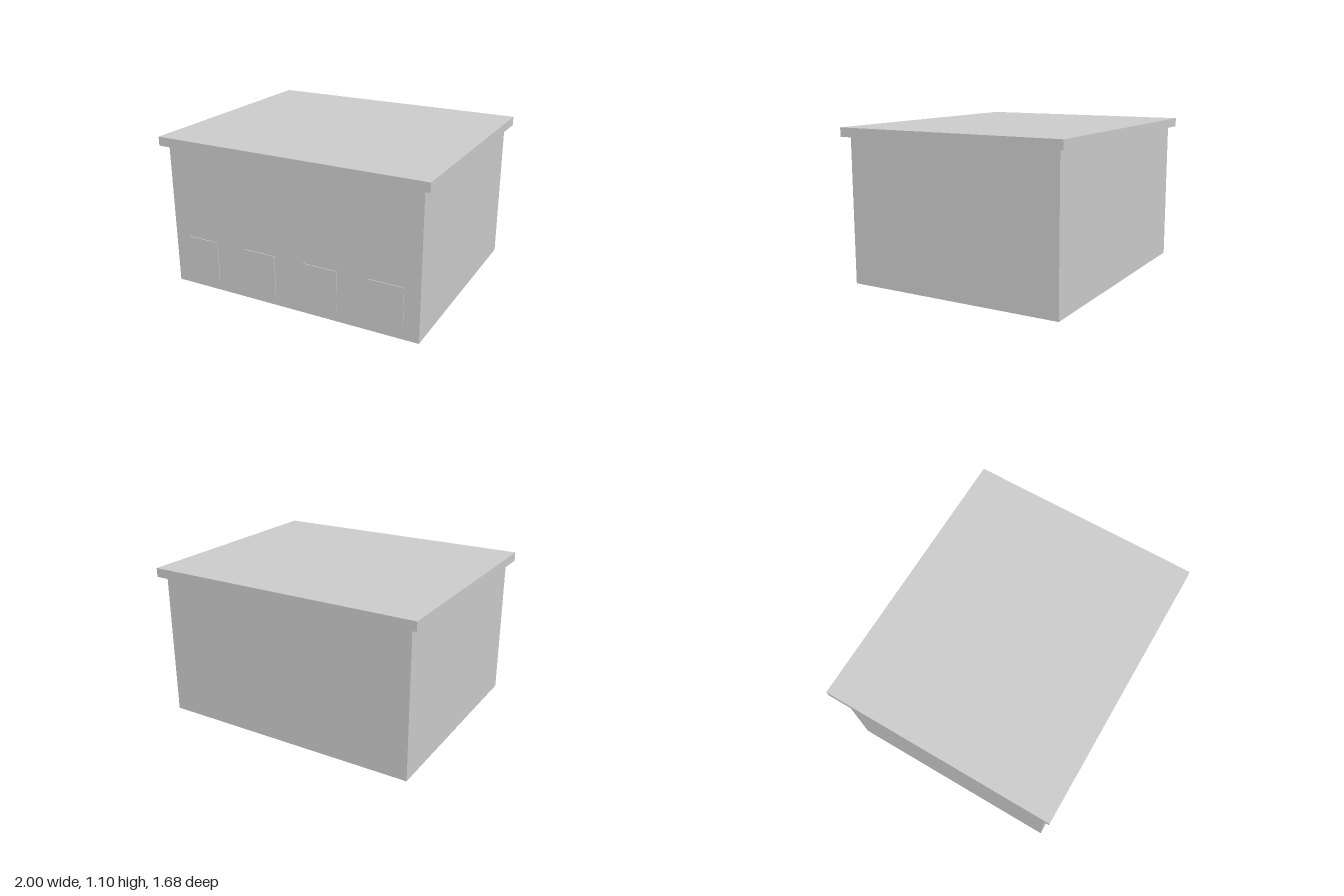
import * as THREE from 'three';

export function createModel() {
  const group = new THREE.Group();
  const grey = new THREE.MeshStandardMaterial({ color: 0xcccccc });
  grey.name = 'light grey';

  // Adds a box whose base sits at height y
  function box(name, w, h, d, x, y, z) {
    const mesh = new THREE.Mesh(new THREE.BoxGeometry(w, h, d), grey);
    mesh.name = name;
    mesh.position.set(x, y + h / 2, z);
    group.add(mesh);
  }

  const wallHeight = 1.033;
  const wallDepth = 1.59;

  // Main block and overhanging flat roof
  box('walls', 1.9, wallHeight, wallDepth, 0, 0, 0);
  box('roofSlab', 2, 0.064, 1.68, 0, wallHeight, 0);

  // Row of four thin panels along the front
  for (let i = 0; i < 4; i++) {
    box('frontPanel' + (i + 1), 0.253, 0.29, 0.008, (i - 1.5) * 0.475, 0.08, wallDepth / 2 + 0.002);
  }

  return group;
}
